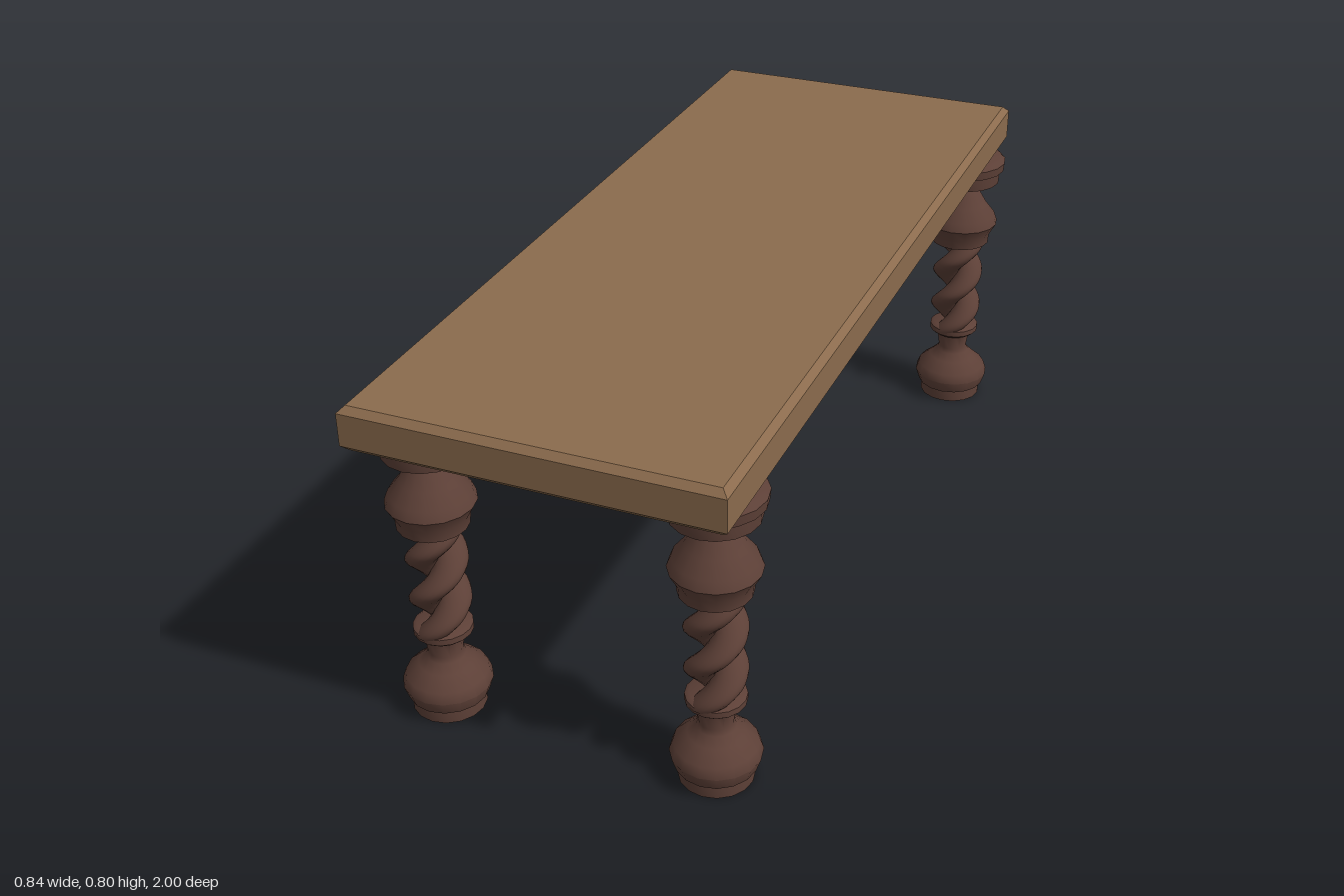
import * as THREE from 'three';
import { mergeVertices, toCreasedNormals } from 'three/addons/utils/BufferGeometryUtils.js';

const topWood = new THREE.MeshStandardMaterial({ color: 0x8b6b4d });
topWood.name = 'light brown wood';
const legWood = new THREE.MeshStandardMaterial({ color: 0x5d4037 });
legWood.name = 'dark brown wood';

function part(name, geometry, material) {
  const mesh = new THREE.Mesh(geometry, material);
  mesh.name = name;
  return mesh;
}

// Turned section from [radius, height] pairs, closed at both ends
function turned(profile) {
  const points = profile.map(([r, y]) => new THREE.Vector2(r, y));
  return toCreasedNormals(new THREE.LatheGeometry(points, 16), 0.75);
}

// One strand of the twist: a round section carried around the leg axis
function strand(phase) {
  const y0 = 0.2, y1 = 0.475, offset = 0.03;
  let geo = new THREE.CylinderGeometry(0.036, 0.036, y1 - y0, 16, 36, true);
  geo.translate(0, (y0 + y1) / 2, 0);
  const p = geo.attributes.position;
  for (let i = 0; i < p.count; i++) {
    const a = phase - Math.PI * (p.getY(i) - 0.26) / 0.1;
    p.setX(i, p.getX(i) + offset * Math.cos(a));
    p.setZ(i, p.getZ(i) + offset * Math.sin(a));
  }
  geo.deleteAttribute('uv');
  geo.deleteAttribute('normal');
  geo = mergeVertices(geo);
  geo.computeVertexNormals();
  return geo;
}

export function createModel() {
  const group = new THREE.Group();
  group.name = 'table';

  // Table top with chamfered edges
  const w = 0.798, l = 2, h = 0.1, b = 0.014;
  const hx = w / 2 - b, hz = l / 2 - b;
  const outline = new THREE.Shape([
    new THREE.Vector2(-hx, -hz), new THREE.Vector2(hx, -hz),
    new THREE.Vector2(hx, hz), new THREE.Vector2(-hx, hz),
  ]);
  const slab = new THREE.ExtrudeGeometry(outline, {
    depth: h - 2 * b, bevelEnabled: true, bevelSize: b, bevelThickness: b, bevelSegments: 1,
  });
  slab.rotateX(-Math.PI / 2);
  slab.translate(-0.008, 0.7 + b, 0);
  group.add(part('tableTop', slab, topWood));

  // Shared leg sections
  const foot = turned([
    [0, 0], [0.08, 0], [0.08, 0.032], [0.087, 0.032], [0.097, 0.062], [0.089, 0.085],
    [0.06, 0.11], [0.042, 0.128], [0.037, 0.14], [0.044, 0.185],
    [0.055, 0.185], [0.064, 0.193], [0.064, 0.207], [0.055, 0.213], [0, 0.213],
  ]);
  const capital = turned([
    [0, 0.461], [0.076, 0.461], [0.078, 0.486], [0.095, 0.517], [0.086, 0.54],
    [0.062, 0.57], [0.046, 0.597], [0.033, 0.617], [0.092, 0.635], [0.094, 0.667],
    [0.103, 0.67], [0.105, 0.692], [0.096, 0.7], [0, 0.7],
  ]);
  const strands = [strand(0), strand(Math.PI)];

  // Four legs, set slightly unevenly
  const places = [
    ['frontLeftLeg', 0.302, 0.84], ['frontRightLeg', -0.318, 0.84],
    ['backLeftLeg', 0.315, -0.867], ['backRightLeg', -0.318, -0.867],
  ];
  for (const [name, x, z] of places) {
    const leg = new THREE.Group();
    leg.name = name;
    leg.add(part('foot', foot, legWood), part('capital', capital, legWood));
    for (const s of strands) leg.add(part('twistStrand', s, legWood));
    leg.position.set(x, 0, z);
    group.add(leg);
  }
  return group;
}
